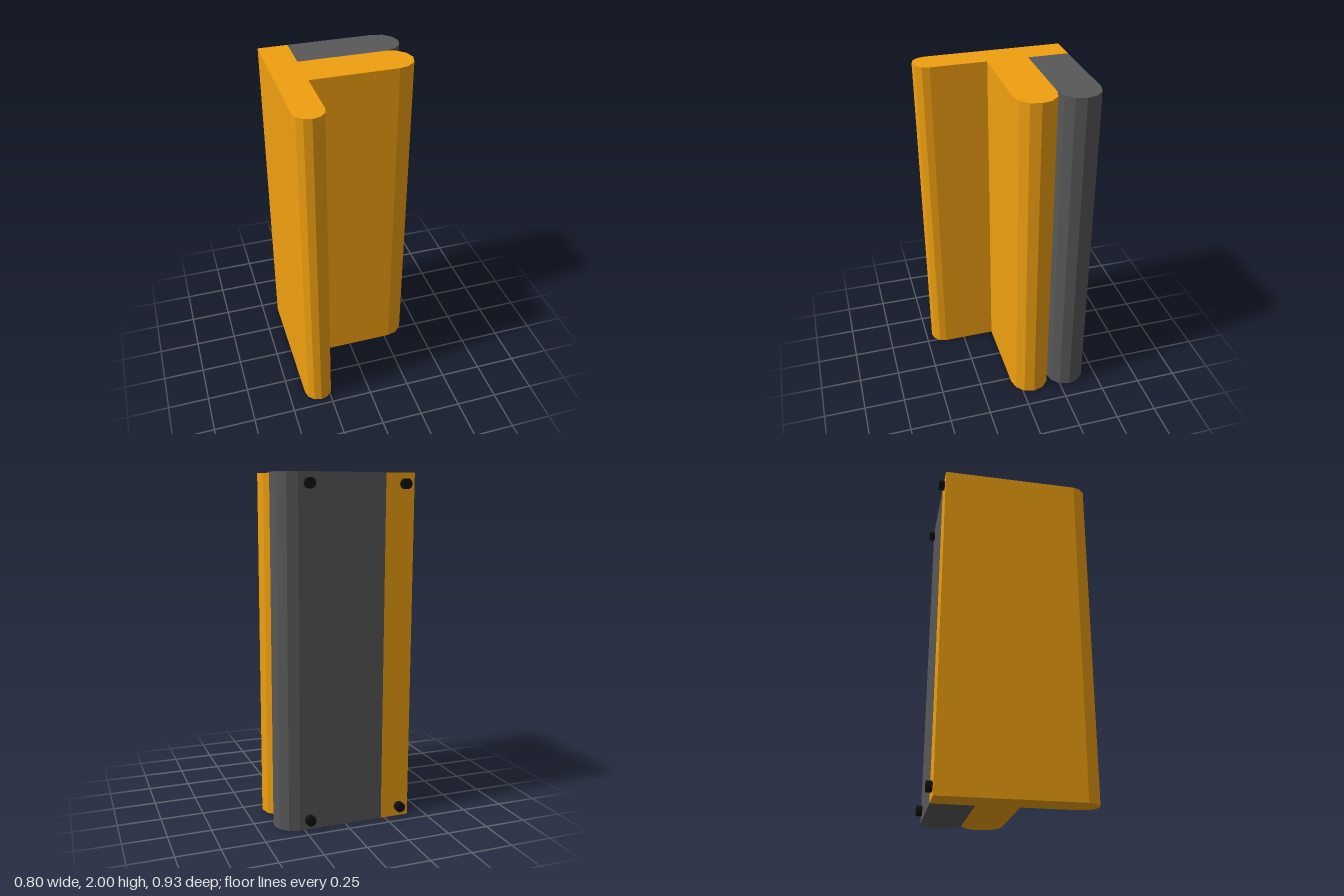
import * as THREE from 'three';

const HEIGHT = 2;
const SLAB_R = 0.12;   // half thickness of the two slabs
const STEM_X = -0.314; // centre line of the stem
const STEM_R = 0.086;

const material = (color) => new THREE.MeshStandardMaterial({ color, flatShading: true });

// Six-sided half circle in plan [x, z], swept from angle a0 by 180 degrees
function roundEnd(cx, cz, r, a0) {
  return Array.from({ length: 7 }, (_, i) => {
    const a = a0 + (Math.PI * i) / 6;
    return [cx + r * Math.cos(a), cz + r * Math.sin(a)];
  });
}

// Upright prism from a plan outline of [x, z] points
function prism(name, outline, mat) {
  const shape = new THREE.Shape(outline.map(([x, z]) => new THREE.Vector2(x, -z)));
  const geometry = new THREE.ExtrudeGeometry(shape, { depth: HEIGHT, bevelEnabled: false });
  geometry.rotateX(-Math.PI / 2);
  const mesh = new THREE.Mesh(geometry, mat);
  mesh.name = name;
  return mesh;
}

export function createModel() {
  const model = new THREE.Group();
  model.name = 'profileBar';
  const inner = STEM_X + STEM_R;
  const outer = STEM_X - STEM_R;

  // Stem and front slab in one piece
  model.add(prism('mainProfile', [
    [outer, -0.43], [inner, -0.43], [inner, -0.19],
    ...roundEnd(0.278, -0.07, SLAB_R, -Math.PI / 2),
    [inner, 0.05],
    ...roundEnd(STEM_X, 0.376, STEM_R, 0),
  ], material(0xf0a010)));

  // Dark slab filling the back recess
  model.add(prism('backSlab', [
    [inner, -0.43],
    ...roundEnd(0.278, -0.31, SLAB_R, -Math.PI / 2),
    [inner, -0.19],
  ], material(0x585858)));

  // Four small pegs on the back
  const pegGeometry = new THREE.CylinderGeometry(0.03, 0.03, 0.036, 10, 1, false, Math.PI / 2);
  pegGeometry.rotateX(Math.PI / 2);
  const pegMaterial = material(0x111111);
  for (const x of [-0.341, 0.219]) {
    for (const y of [0.06, 1.94]) {
      const peg = new THREE.Mesh(pegGeometry, pegMaterial);
      peg.name = 'backPeg';
      peg.position.set(x, y, -0.446);
      model.add(peg);
    }
  }
  return model;
}
